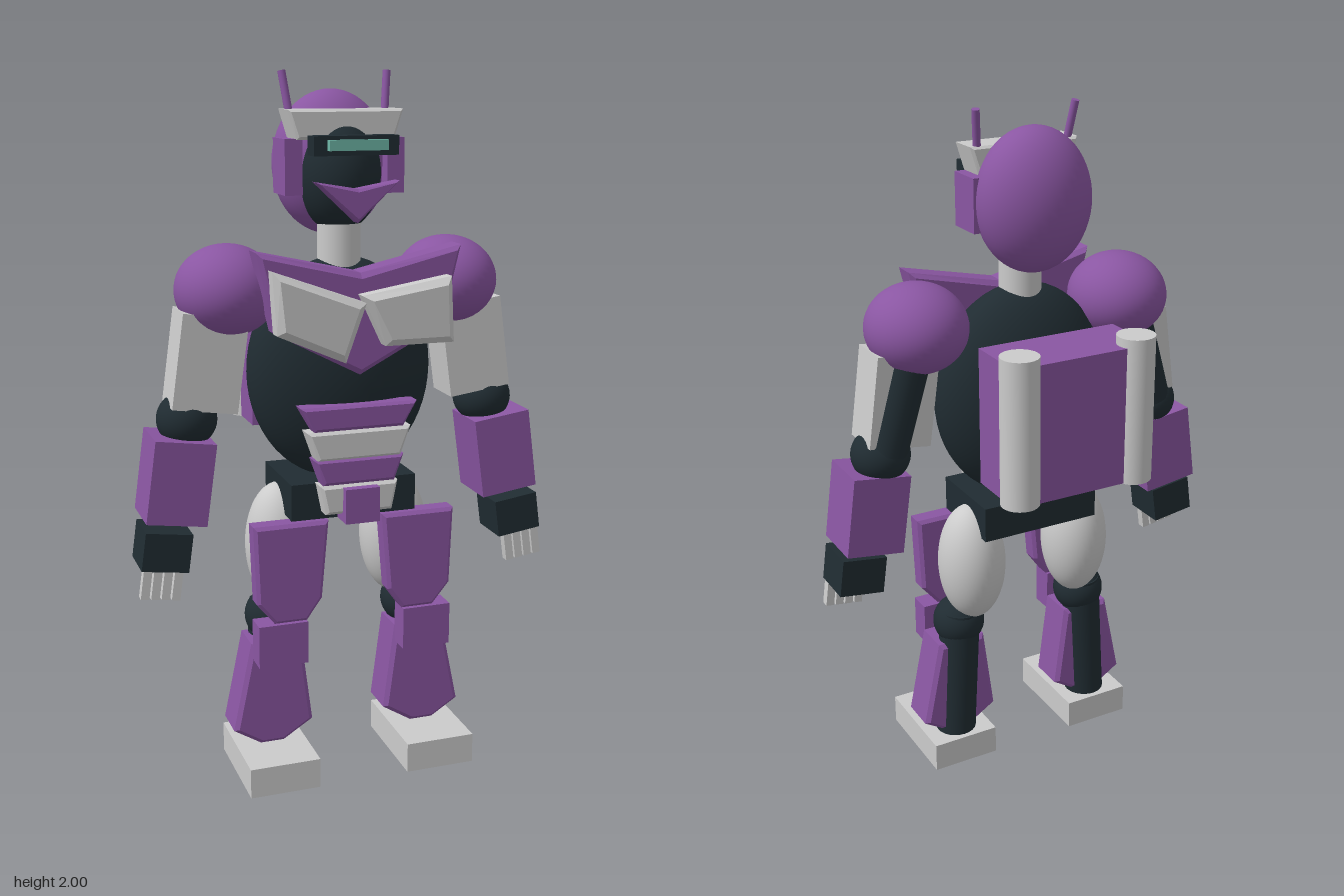
import * as THREE from 'three';

const mat = (color) => new THREE.MeshStandardMaterial({ color });
const purple = mat(0x8a56a2), dark = mat(0x202c32), grey = mat(0xcccccc), teal = mat(0x6fb8a8);

export function createModel() {
  const root = new THREE.Group();

  const add = (name, geo, m, x = 0, y = 0, z = 0, rz = 0) => {
    const mesh = new THREE.Mesh(geo, m);
    mesh.name = name;
    mesh.position.set(x, y, z);
    mesh.rotation.z = rz;
    root.add(mesh);
    return mesh;
  };
  const box = (name, m, w, h, d, x, y, z, rz) => add(name, new THREE.BoxGeometry(w, h, d), m, x, y, z, rz);
  const ball = (name, m, rx, ry, rz, x, y, z) =>
    add(name, new THREE.SphereGeometry(1, 40, 28).scale(rx, ry, rz), m, x, y, z);

  // Armour plate: outline in x/y, bevelled, spanning z0 to z1
  const plate = (name, m, pts, z0, z1, b = 0.012, s = 1) => {
    const shape = new THREE.Shape(pts.map(([x, y]) => new THREE.Vector2(x * s, y)));
    const geo = new THREE.ExtrudeGeometry(shape, {
      depth: z1 - z0 - 2 * b, bevelEnabled: true, bevelSegments: 1,
      bevelThickness: b, bevelSize: b, bevelOffset: -b,
    });
    return add(name, geo.translate(0, 0, z0 + b), m);
  };

  // Round bar between two points
  const rod = (name, m, a, c, r) => {
    const p = new THREE.Vector3(...a), q = new THREE.Vector3(...c);
    const mesh = add(name, new THREE.CylinderGeometry(r, r, p.distanceTo(q), 24), m);
    mesh.position.copy(p).lerp(q, 0.5);
    mesh.quaternion.setFromUnitVectors(new THREE.Vector3(0, 1, 0), q.sub(p).normalize());
  };

  // Head
  ball('helmet', purple, 0.167, 0.2, 0.135, 0, 1.752, -0.012);
  ball('face', dark, 0.118, 0.16, 0.125, 0, 1.725, 0.057);
  plate('brow', grey, [[-0.165, 1.9], [0.165, 1.9], [0.14, 1.82], [-0.14, 1.82]], 0.03, 0.13, 0.008);
  box('visor', dark, 0.24, 0.052, 0.055, 0, 1.808, 0.183);
  box('visorLens', teal, 0.165, 0.028, 0.03, 0, 1.81, 0.216);
  plate('chinGuard', purple, [[-0.118, 1.715], [0, 1.695], [0.118, 1.715], [0, 1.605]], 0.18, 0.23, 0.008);
  rod('neck', grey, [0, 1.44, 0.065], [0, 1.62, 0.065], 0.061);

  // Torso
  ball('torso', dark, 0.27, 0.32, 0.155, 0, 1.18, 0.065);
  plate('chestPlate', purple, [[-0.292, 1.54], [0, 1.475], [0.292, 1.54], [0.24, 1.32], [0, 1.195], [-0.24, 1.32]],
    0.165, 0.258, 0.015);
  plate('rightBreastPlate', grey, [[-0.262, 1.495], [0, 1.4], [-0.058, 1.24], [-0.25, 1.325]], 0.235, 0.314, 0.02);
  plate('leftBreastPlate', grey, [[-0.012, 1.42], [0.245, 1.462], [0.255, 1.28], [0.055, 1.28]], 0.235, 0.314, 0.02);

  // Stacked abdominal plates, narrowing downwards
  [[1.11, 1.04, 0.17, 0.13], [1.04, 0.955, 0.152, 0.122], [0.96, 0.885, 0.132, 0.105], [0.885, 0.8, 0.115, 0.098]]
    .forEach(([t, b, wt, wb], i) =>
      plate('abdomenPlate', i % 2 ? grey : purple, [[-wt, t], [wt, t], [wb, b], [-wb, b]], 0.185, 0.25, 0.01));
  box('pelvis', dark, 0.37, 0.105, 0.26, 0, 0.83, 0.07);
  box('crotchGuard', purple, 0.1, 0.1, 0.075, 0, 0.828, 0.237);

  // Backpack
  box('backpack', purple, 0.428, 0.4, 0.2, 0, 1.187, -0.19);

  for (const s of [-1, 1]) {
    const tilt = s * 0.14;

    // Head and back details
    box('cheekGuard', purple, 0.05, 0.15, 0.112, s * 0.147, 1.748, 0.063);
    rod('antenna', purple, [s * 0.135, 1.86, 0.055], [s * 0.152, 2, 0.027], 0.011);
    rod('backTank', grey, [s * 0.181, 0.985, -0.261], [s * 0.181, 1.412, -0.261], 0.055);

    // Arm
    ball('shoulder', purple, 0.145, 0.127, 0.151, s * 0.325, 1.418, 0.065);
    rod('upperArm', dark, [s * 0.345, 1.4, 0.04], [s * 0.44, 1.08, 0.045], 0.062);
    box('upperArmGuard', grey, 0.185, 0.265, 0.13, s * 0.392, 1.228, 0.075, tilt);
    ball('elbow', dark, 0.085, 0.08, 0.085, s * 0.447, 1.065, 0.068);
    box('forearm', purple, 0.172, 0.235, 0.166, s * 0.487, 0.905, 0.083, tilt);
    box('hand', dark, 0.134, 0.11, 0.135, s * 0.532, 0.712, 0.098, tilt);
    for (let i = 0; i < 4; i++) {
      const f = (i - 1.5) * 0.029;
      box('finger', grey, 0.024, 0.085, 0.026, s * (0.55 + f), 0.62 + f * 0.14, 0.152, tilt);
    }

    // Leg
    ball('thigh', grey, 0.1, 0.185, 0.107, s * 0.177, 0.665, 0.05);
    plate('thighGuard', purple, [[0.08, 0.775], [0.3, 0.775], [0.292, 0.545], [0.24, 0.482], [0.145, 0.482], [0.1, 0.545]],
      0.155, 0.22, 0.01, s);
    ball('knee', dark, 0.078, 0.078, 0.078, s * 0.212, 0.46, 0.077);
    box('kneeGuard', purple, 0.145, 0.125, 0.07, s * 0.218, 0.42, 0.19);
    rod('shin', dark, [s * 0.212, 0.5, 0.068], [s * 0.235, 0.08, 0.068], 0.062);
    plate('shinGuard', purple, [[0.145, 0.405], [0.295, 0.405], [0.35, 0.14], [0.27, 0.09], [0.2, 0.09], [0.112, 0.145]],
      0.035, 0.165, 0.012, s);
    box('foot', grey, 0.207, 0.088, 0.31, s * 0.238, 0.044, 0.145);
  }
  return root;
}
